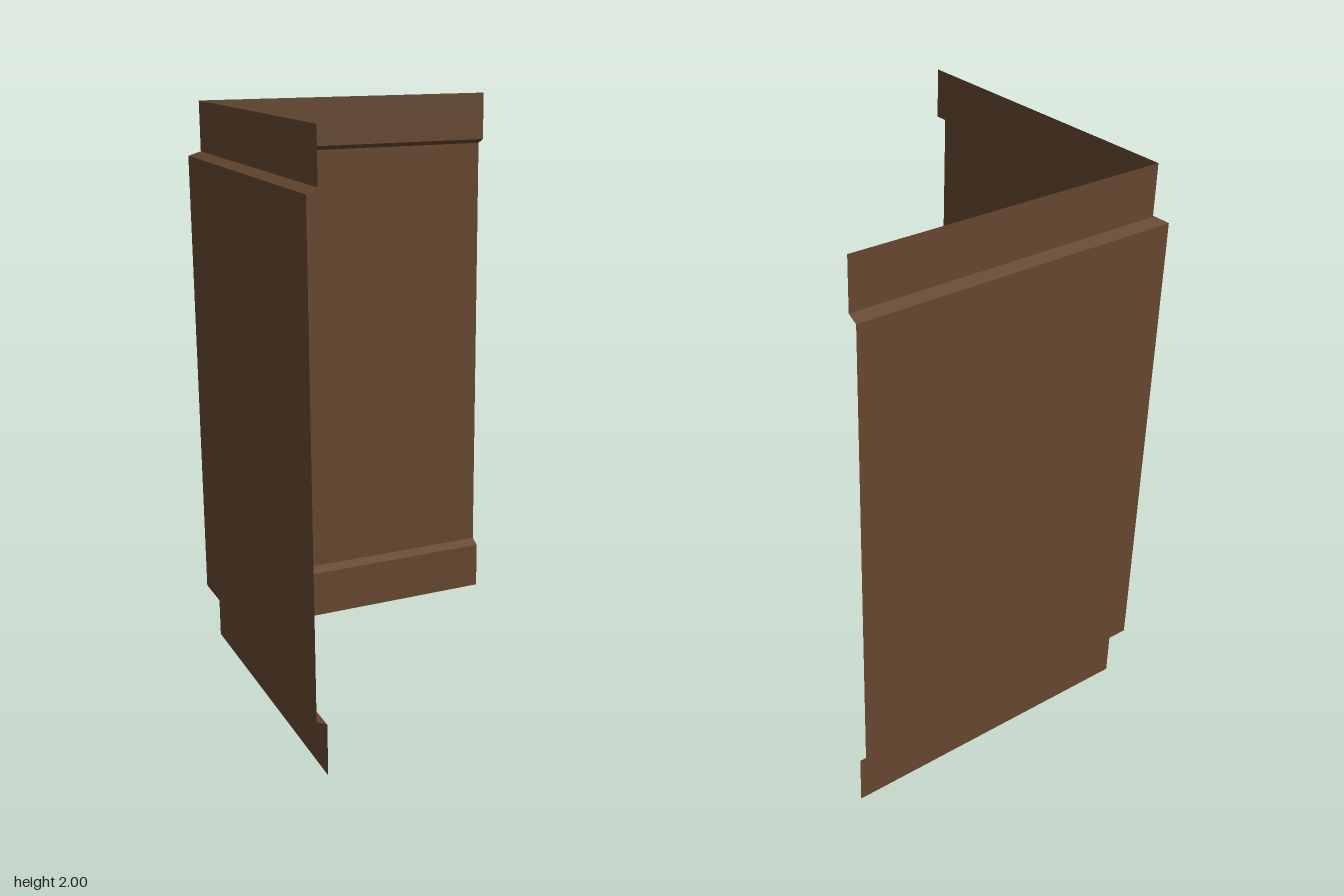
import * as THREE from 'three';

const END = 0.57; // free edge of each wall

// Folded sheet profile: [height, offset of the wall plane]
const PROFILE = [
  [0, -0.535],
  [0.177, -0.535],
  [0.195, -0.57],
  [1.811, -0.57],
  [1.828, -0.535],
  [2, -0.535],
];

// One strip of sheet between two profile points, mitred at the corner
function strip([y0, d0], [y1, d1], toWall) {
  const a = toWall(d0, y0, d0), b = toWall(END, y0, d0);
  const c = toWall(END, y1, d1), d = toWall(d1, y1, d1);
  const geometry = new THREE.BufferGeometry();
  geometry.setAttribute('position', new THREE.Float32BufferAttribute([a, b, c, a, c, d].flat(), 3));
  geometry.computeVertexNormals();
  return geometry;
}

export function createModel() {
  const model = new THREE.Group();
  model.name = 'cornerPanel';
  const brown = new THREE.MeshStandardMaterial({ color: 0x64462f, side: THREE.DoubleSide });
  brown.name = 'brown';

  // The back wall runs along x; the side wall runs along z
  const walls = {
    backWall: (along, y, offset) => [along, y, offset],
    sideWall: (along, y, offset) => [offset, y, END - (along - offset)],
  };
  const parts = ['LowerFlange', 'LowerBevel', 'Panel', 'UpperBevel', 'UpperFlange'];

  for (const [name, toWall] of Object.entries(walls)) {
    const wall = new THREE.Group();
    wall.name = name;
    parts.forEach((part, i) => {
      const mesh = new THREE.Mesh(strip(PROFILE[i], PROFILE[i + 1], toWall), brown);
      mesh.name = name + part;
      wall.add(mesh);
    });
    model.add(wall);
  }
  return model;
}
